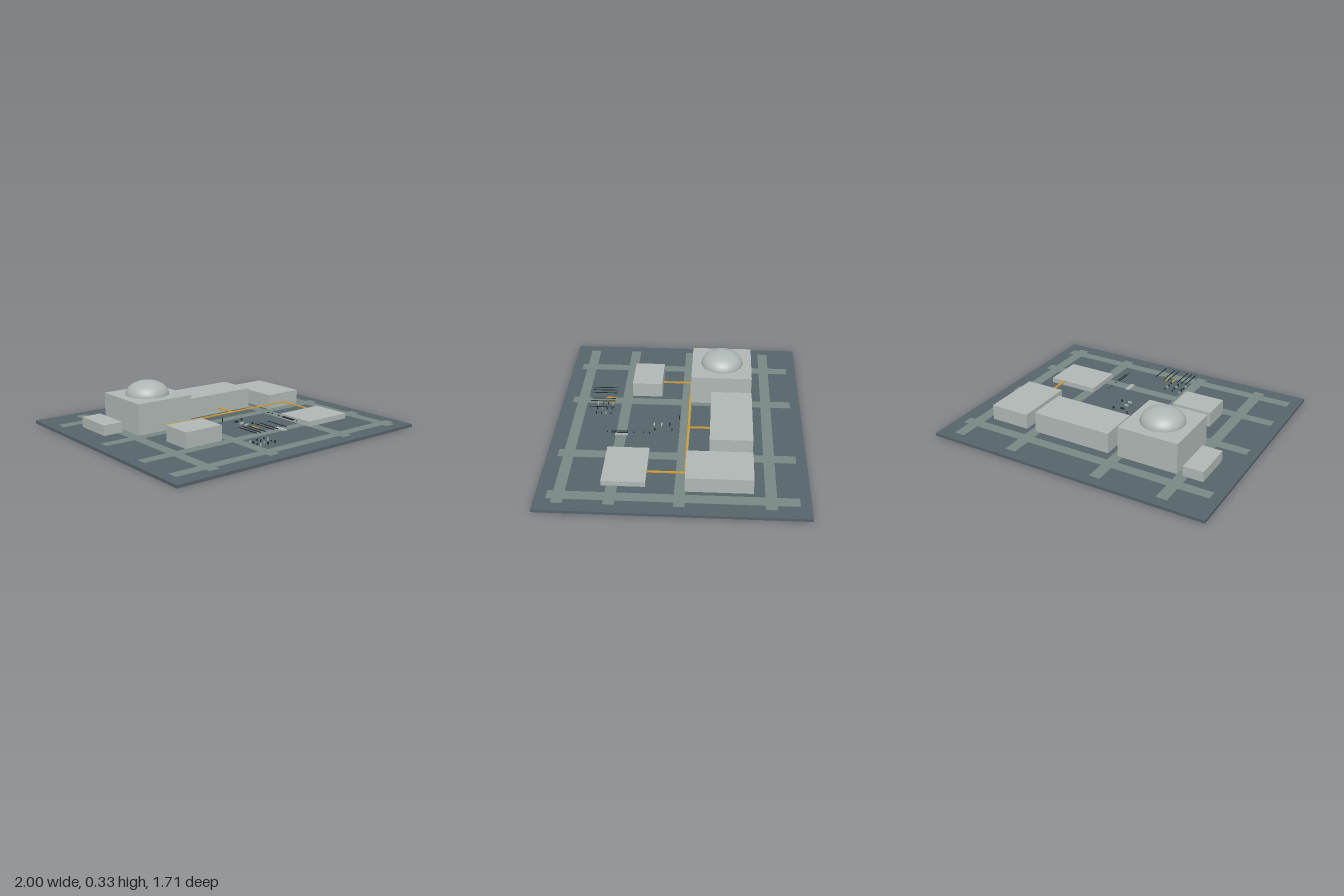
import * as THREE from 'three';

const mat = (name, color) => {
  const m = new THREE.MeshStandardMaterial({ color });
  m.name = name;
  return m;
};

export function createModel() {
  const model = new THREE.Group();
  model.name = 'industrialSite';
  const ground = mat('slate ground', 0x55636a);
  const road = mat('road grey green', 0x778783);
  const wall = mat('pale concrete', 0xaeb6b3);
  const dark = mat('dark steel', 0x242c30);
  const gold = mat('pipe gold', 0xd09a35);

  // Box given by its extents on each axis
  const box = (name, m, x0, x1, y0, y1, z0, z1) => {
    const b = new THREE.Mesh(new THREE.BoxGeometry(x1 - x0, y1 - y0, z1 - z0), m);
    b.position.set((x0 + x1) / 2, (y0 + y1) / 2, (z0 + z1) / 2);
    b.name = name;
    model.add(b);
    return b;
  };
  const top = 0.02;

  // Ground slab and road grid
  box('groundSlab', ground, -1, 1, 0, top, -0.857, 0.857);
  for (const x of [-0.682, -0.217, 0.427, 0.853])
    box('crossRoad', road, x - 0.038, x + 0.038, top - 0.003, top + 0.002, -0.787, 0.785);
  for (const z of [-0.61, -0.043, 0.39, 0.712])
    box('longRoad', road, -0.93, 0.93, top - 0.003, top + 0.0025, z - 0.036, z + 0.036);

  // Buildings: x range, z range, roof height
  const buildings = [
    ['domeHall', -0.642, -0.217, -0.503, -0.073, 0.235],
    ['annex', -0.823, -0.682, -0.503, -0.218, 0.092],
    ['mainHall', -0.145, 0.425, -0.503, -0.218, 0.165],
    ['eastHall', 0.498, 0.783, -0.503, -0.073, 0.127],
    ['westWorkshop', -0.572, -0.287, 0.14, 0.355, 0.128],
    ['lowDepot', 0.39, 0.75, 0.178, 0.46, 0.057],
  ];
  for (const [name, x0, x1, z0, z1, h] of buildings) box(name, wall, x0, x1, top, h, z0, z1);

  // Flattened dome on the tall hall
  const dome = new THREE.Mesh(
    new THREE.SphereGeometry(0.15, 28, 10, 0, Math.PI * 2, 0, Math.PI / 2), wall);
  dome.scale.y = 0.64;
  dome.position.set(-0.43, 0.235, -0.29);
  dome.name = 'dome';
  model.add(dome);

  // Raised pipe network
  const p = 0.007, py0 = 0.053, py1 = 0.06;
  box('mainPipe', gold, -0.43 - p, 0.64 + p, py0, py1, -0.07 - p, -0.07 + p);
  for (const [x, z0, z1] of [[-0.43, -0.07, 0.14], [0.64, -0.07, 0.18], [0.142, -0.22, -0.07]])
    box('branchPipe', gold, x - p, x + p, py0, py1, z0, z1);
  box('pipePost', dark, -0.002, 0.002, top, 0.055, -0.002, 0.002);

  // Overhead rails and workbenches of the open yard
  for (const x of [-0.23, -0.197, -0.162, -0.09, -0.055, 0.017])
    box('overheadRail', dark, x - 0.0025, x + 0.0025, 0.121, 0.125, 0.455, 0.63);
  for (const x of [-0.12, -0.063])
    box('goldRail', gold, x - 0.004, x + 0.004, 0.11, 0.114, 0.455, 0.52);
  for (let i = 0; i < 3; i++)
    for (let j = 0; j < 4; j++) {
      const x = -0.165 + i * 0.06, z = 0.49 + j * 0.035;
      box('yardItem', (i + j) % 3 ? dark : wall, x - 0.005, x + 0.005, top, 0.03 + (j % 2) * 0.006, z - 0.003, z + 0.003);
    }

  // Hanging frame with a row of beads along its axis
  for (const x of [0.252, 0.268])
    box('frameSide', dark, x - 0.002, x + 0.002, 0.085, 0.09, 0.337, 0.445);
  for (const z of [0.337, 0.443])
    box('frameEnd', dark, 0.25, 0.27, 0.085, 0.09, z - 0.002, z + 0.002);
  for (const z of [0.19, 0.23, 0.295, 0.475])
    box('frameMarker', dark, 0.255, 0.265, 0.085, 0.09, z - 0.003, z + 0.003);

  // Pallet stack and small crates
  for (let i = 0; i < 5; i++)
    box('pallet', wall, 0.18, 0.212, top, 0.028, 0.345 + i * 0.018, 0.359 + i * 0.018);
  for (const z of [0.065, 0.12, 0.172])
    box('crate', z > 0.1 ? wall : dark, 0.06, 0.09, top, 0.032, z - 0.004, z + 0.004);
  for (const z of [0.045, 0.165])
    box('smallCrate', dark, 0.13, 0.142, top, 0.035, z - 0.004, z + 0.004);

  return model;
}
